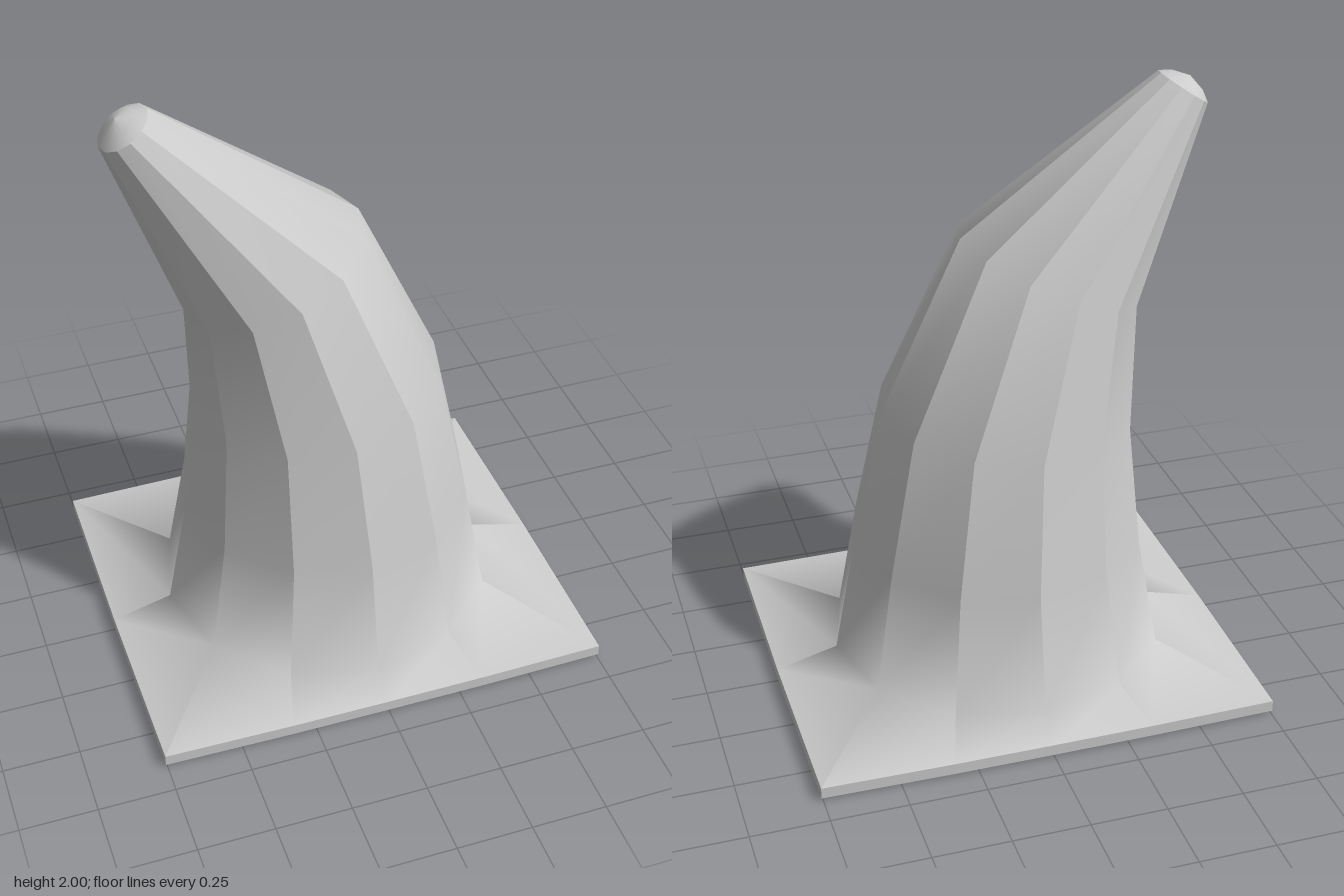
import * as THREE from 'three';

const SIDES = 12;

// Tilted oval ring given by its left end, right end and half depth
function ovalRing([lx, ly], [rx, ry], depth) {
  return Array.from({ length: SIDES }, (_, j) => {
    const a = (j / SIDES) * Math.PI * 2, t = (1 + Math.cos(a)) / 2;
    return [lx + (rx - lx) * t, ly + (ry - ly) * t, depth * Math.sin(a)];
  });
}

// Rectangular outline with one point for each side of the horn
function plateRing(y, scale = 1) {
  const quarter = [[0.76, 0], [0.755, 0.65], [0.33, 0.657], [0, 0.658]];
  return Array.from({ length: SIDES }, (_, j) => {
    const q = j % 6;
    const [x, z] = quarter[q <= 3 ? q : 6 - q];
    const sx = j > 3 && j < 9 ? -1 : 1, sz = j > 6 ? -1 : 1;
    return [x * sx * scale, y, z * sz * scale];
  });
}

// Skin a list of rings; split gives every lengthwise strip its own normals
function loft(name, rings, split) {
  const pos = [], index = [];
  const quad = (a, b, c, d) => index.push(a, c, b, b, c, d);
  const n = rings.length;
  for (let j = 0; j < SIDES; j++) {
    const columns = split ? [j, (j + 1) % SIDES] : [j];
    for (const col of columns) for (const ring of rings) pos.push(...ring[col]);
    const first = split ? j * 2 * n : j * n;
    const next = split ? first + n : ((j + 1) % SIDES) * n;
    for (let i = 0; i < n - 1; i++) quad(first + i, next + i, first + i + 1, next + i + 1);
  }
  const geo = new THREE.BufferGeometry();
  geo.setAttribute('position', new THREE.Float32BufferAttribute(pos, 3));
  geo.setIndex(index);
  geo.computeVertexNormals();
  const mesh = new THREE.Mesh(geo, new THREE.MeshStandardMaterial({ color: 0xcccccc }));
  mesh.name = name;
  return mesh;
}

export function createModel() {
  const group = new THREE.Group();
  group.name = 'curvedHorn';

  // Thin base plate: underside and rim
  group.add(loft('plateUnderside', [plateRing(0, 0.001), plateRing(0.008)], true));
  group.add(loft('plateRim', [plateRing(0.008), plateRing(0.046)], true));

  // Sloped flange running into the bent, tapering horn
  const tip = ovalRing([-0.685, 1.9], [-0.535, 2.0], 0.095);
  group.add(loft('hornBody', [
    plateRing(0.046),
    ovalRing([-0.56, 0.1], [0.555, 0.1], 0.557),
    ovalRing([-0.49, 0.48], [0.482, 0.49], 0.487),
    ovalRing([-0.45, 0.88], [0.38, 0.955], 0.413),
    ovalRing([-0.46, 1.28], [0.11, 1.53], 0.312),
    tip,
  ], true));

  // Rounded cap, bulging along the tilt of the tip
  const capRing = (scale, lift) => tip.map(([x, y, z]) => [
    -0.61 + (x + 0.61) * scale - 0.55 * lift,
    1.95 + (y - 1.95) * scale + 0.83 * lift,
    z * scale,
  ]);
  group.add(loft('hornTip', [tip, capRing(0.62, 0.024), capRing(0.001, 0.04)], false));

  return group;
}
